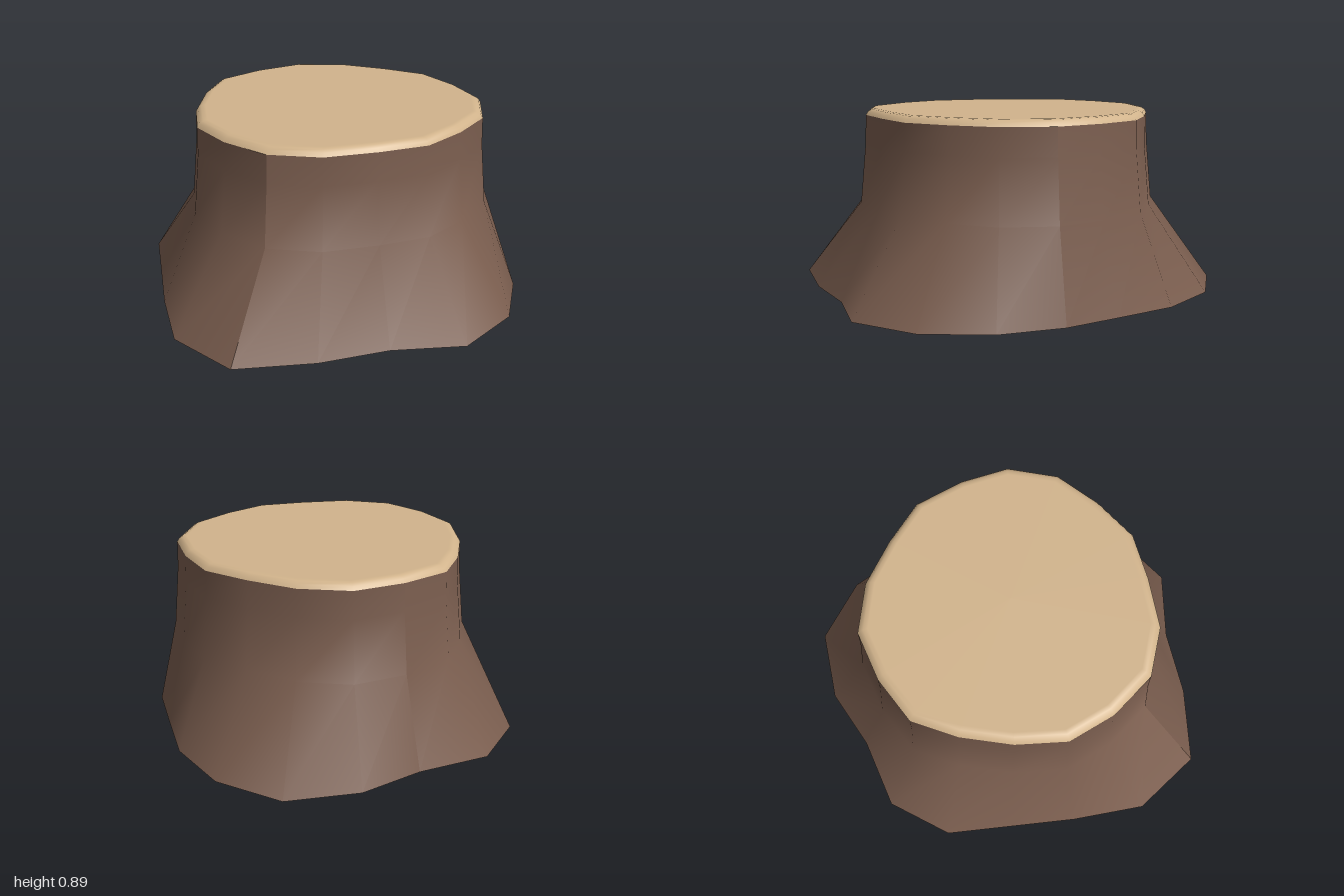
import * as THREE from 'three';

// Outlines as [x, z], 18 points each, one every 20 degrees from +x towards +z
const base = [
  [0.89, 0.03], [0.90, 0.35], [0.79, 0.67], [0.53, 0.91], [0.18, 0.91], [-0.15, 0.98],
  [-0.53, 0.99], [-0.78, 0.71], [-0.84, 0.35], [-0.87, 0.02], [-0.90, -0.31], [-0.74, -0.61],
  [-0.41, -0.75], [-0.14, -0.93], [0.21, -1.0], [0.52, -0.83], [0.72, -0.55], [0.81, -0.25],
];
const rim = [
  [0.76, 0.03], [0.71, 0.28], [0.56, 0.47], [0.38, 0.63], [0.15, 0.69], [-0.10, 0.73],
  [-0.34, 0.67], [-0.52, 0.49], [-0.64, 0.28], [-0.65, 0.03], [-0.61, -0.22], [-0.53, -0.44],
  [-0.33, -0.59], [-0.10, -0.69], [0.15, -0.66], [0.37, -0.55], [0.57, -0.42], [0.69, -0.20],
];
const CENTRE = [0.05, 0.03];
const SIDES = rim.length;

// One horizontal ring: an outline scaled about the trunk centre at height y
function ring(outline, scale, y) {
  return outline.map(([x, z]) => [
    CENTRE[0] + (x - CENTRE[0]) * scale, y, CENTRE[1] + (z - CENTRE[1]) * scale,
  ]);
}

// Smooth skin over columns start .. start + count of a stack of rings
function loft(rings, start, count) {
  const closed = count === SIDES;
  const cols = closed ? count : count + 1;
  const positions = [];
  const index = [];
  for (const r of rings) {
    for (let i = 0; i < cols; i++) positions.push(...r[(start + i) % SIDES]);
  }
  for (let j = 0; j < rings.length - 1; j++) {
    for (let i = 0; i < count; i++) {
      const a = j * cols + i;
      const b = j * cols + ((i + 1) % cols);
      index.push(a, a + cols, b, b, a + cols, b + cols);
    }
  }
  const geometry = new THREE.BufferGeometry();
  geometry.setAttribute('position', new THREE.Float32BufferAttribute(positions, 3));
  geometry.setIndex(index);
  geometry.computeVertexNormals();
  return geometry;
}

export function createModel() {
  const bark = new THREE.MeshStandardMaterial({ color: 0x7b5e4f, side: THREE.DoubleSide });
  bark.name = 'bark';
  const wood = new THREE.MeshStandardMaterial({ color: 0xd2b48c, side: THREE.DoubleSide });
  wood.name = 'cutWood';

  const stump = new THREE.Group();
  stump.name = 'treeStump';

  // Bark: hollow flared trunk in three smooth panels that meet at creases
  const trunk = new THREE.Group();
  trunk.name = 'trunk';
  const trunkRings = [
    ring(base, 1, 0), ring(rim, 1.045, 0.43), ring(rim, 1.005, 0.73), ring(rim, 1, 0.863),
  ];
  for (let p = 0; p < 3; p++) {
    const panel = new THREE.Mesh(loft(trunkRings, p * 6, 6), bark);
    panel.name = `barkPanel${p + 1}`;
    trunk.add(panel);
  }
  stump.add(trunk);

  // Cut face: rounded rim closing to a flat top
  const capRings = [
    ring(rim, 1, 0.863), ring(rim, 0.985, 0.88), ring(rim, 0.96, 0.891),
    ring(rim, 0.93, 0.894), ring(rim, 0, 0.894),
  ];
  const cap = new THREE.Mesh(loft(capRings, 0, SIDES), wood);
  cap.name = 'cutFace';
  // The centre fan has half its triangles collapsed, so set its normals straight up
  const normals = cap.geometry.attributes.normal;
  for (let i = 3 * SIDES; i < 5 * SIDES; i++) normals.setXYZ(i, 0, 1, 0);
  stump.add(cap);

  return stump;
}
